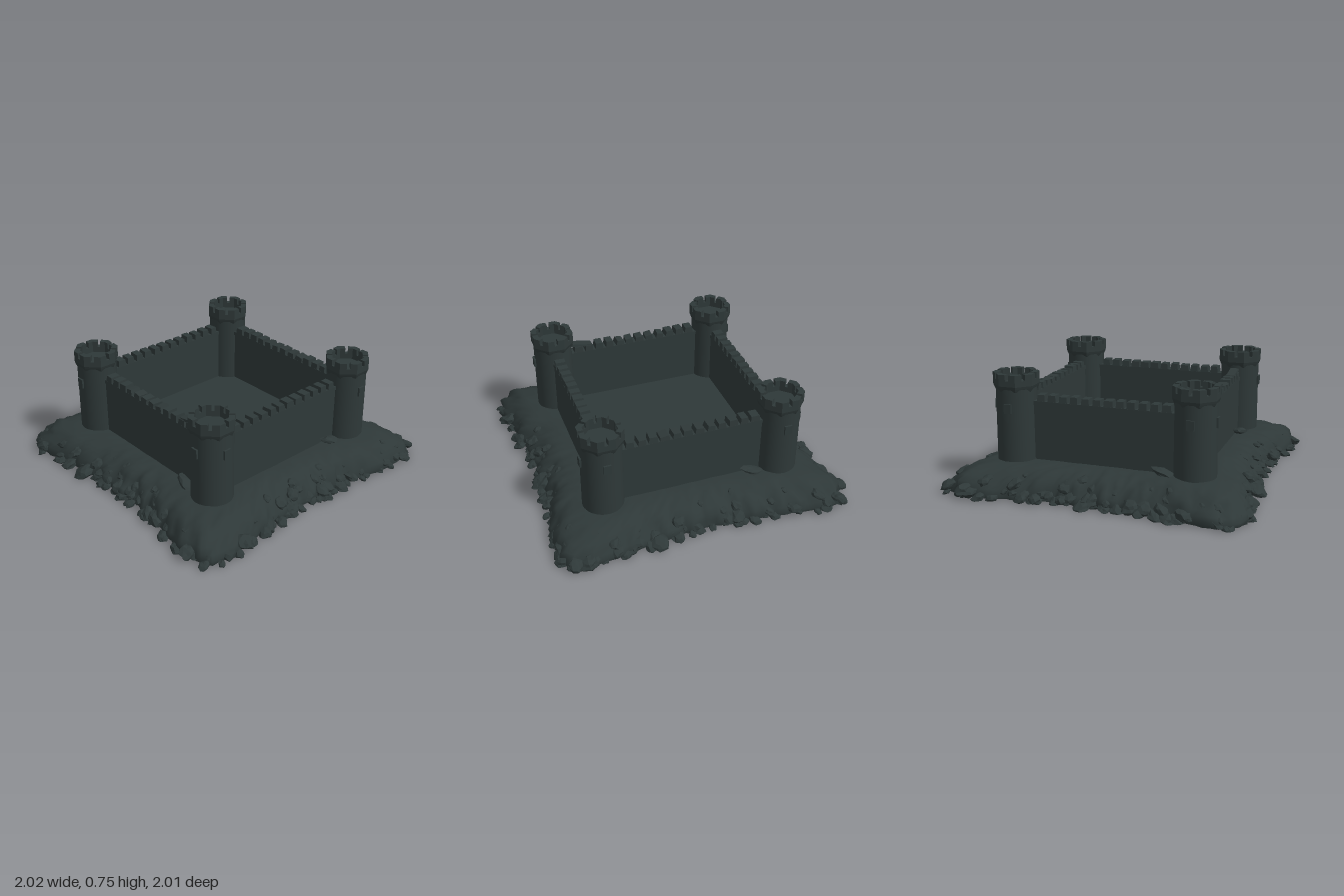
import * as THREE from 'three';
import { mergeVertices } from 'three/addons/utils/BufferGeometryUtils.js';

const C = 0.59; // tower centres, out from the middle

function seeded(seed) {
  let s = seed;
  return () => {
    s = (s * 16807) % 2147483647;
    return s / 2147483647;
  };
}

// Smooth bumps at two scales for the ground
const wave = (x, z, f) =>
  Math.sin(x * f + Math.sin(z * f * 0.6) * 2) * Math.cos(z * f * 0.9 + Math.sin(x * f * 0.7) * 2);
const bumps = (x, z) => 0.6 * wave(x, z, 19) + 0.5 * wave(z + 0.3, x, 43);

// Outline of the mound: a square with softened, pushed out corners
function outline(a) {
  const c = Math.cos(a), s = Math.sin(a), p = 14;
  const r = Math.pow(Math.abs(c) ** p + Math.abs(s) ** p, -1 / p);
  const k = 1 + 0.1 * Math.sin(2 * a) ** 4;
  return [c * r * k, s * r * k];
}

// Gives every face its own flat normal
function faceted(geometry) {
  const g = geometry.toNonIndexed();
  g.computeVertexNormals();
  return g;
}

export function createModel() {
  const model = new THREE.Group();
  const rand = seeded(71);
  const stone = new THREE.MeshStandardMaterial({ color: 0x2e3838 });
  stone.name = 'dark slate';

  function add(parent, name, geometry, x = 0, y = 0, z = 0) {
    const m = new THREE.Mesh(geometry, stone);
    m.name = name;
    m.position.set(x, y, z);
    parent.add(m);
    return m;
  }

  // Mound: rings of a slope profile [half size, height, roughness]
  const profile = [
    [0.87, 0.005, 0.02], [0.875, 0.03, 0.025], [0.862, 0.06, 0.028],
    [0.842, 0.09, 0.026], [0.815, 0.122, 0.022], [0.785, 0.145, 0.018], [0.75, 0.162, 0.014],
    [0.715, 0.172, 0.011], [0.68, 0.179, 0.008], [0.64, 0.184, 0.005], [0.54, 0.185, 0], [0, 0.185, 0],
  ];
  const N = 240, pos = [], idx = [];
  profile.forEach(([h, y, n], j) => {
    for (let i = 0; i < N; i++) {
      const [x, z] = outline((i / N) * Math.PI * 2);
      const b = bumps(x * h, z * h);
      const k = h + n * b;
      pos.push(x * k, j === 0 ? y : y + n * b * 0.7, z * k);
      if (j < profile.length - 1) {
        const a = j * N + i, d = j * N + ((i + 1) % N);
        idx.push(a, a + N, d, d, a + N, d + N);
      }
    }
  });
  const moundGeo = new THREE.BufferGeometry();
  moundGeo.setAttribute('position', new THREE.Float32BufferAttribute(pos, 3));
  moundGeo.setIndex(idx);
  moundGeo.computeVertexNormals();
  add(model, 'mound', moundGeo);

  // Flat underside
  const under = new THREE.Shape();
  for (let i = 0; i < N; i++) under.lineTo(pos[i * 3], pos[i * 3 + 2]);
  under.curves.shift();
  add(model, 'underside', new THREE.ShapeGeometry(under).rotateX(Math.PI / 2), 0, 0.005, 0);

  // Rocks scattered over the slope, flattened at the ground
  function rock(sx, sy, sz, x, y, z, turn) {
    let g = new THREE.IcosahedronGeometry(1, 1);
    g.deleteAttribute('normal');
    g.deleteAttribute('uv');
    g = mergeVertices(g);
    const p = g.attributes.position;
    for (let i = 0; i < p.count; i++) {
      const k = 0.75 + rand() * 0.4;
      p.setXYZ(i, p.getX(i) * k * sx, p.getY(i) * k * sy, p.getZ(i) * k * sz);
    }
    g.rotateZ(-0.4).rotateY(turn).translate(x, y, z);
    for (let i = 0; i < p.count; i++) p.setY(i, Math.max(p.getY(i), 0));
    return faceted(g);
  }
  const rocks = new THREE.Group();
  rocks.name = 'rocks';
  model.add(rocks);
  const rows = [[0.875, 0.014, 84, 0.036], [0.855, 0.05, 60, 0.038], [0.815, 0.1, 44, 0.034], [0.765, 0.14, 26, 0.026]];
  for (const [h, y, count, size] of rows) {
    for (let i = 0; i < count; i++) {
      const a = ((i + rand() * 0.9) / count) * Math.PI * 2;
      const [x, z] = outline(a);
      const k = h + (rand() - 0.5) * 0.05, s = size * (0.6 + rand() * 0.8);
      add(rocks, 'rock', rock(s * 1.25, s * 0.65, s, x * k, y, z * k, -a + rand() - 0.5));
    }
  }
  // Larger boulders that break the outline, paired across the middle
  const boulders = [[0.33, -0.92, 0.06], [0.77, -0.945, 0.05], [0.93, -0.82, 0.045], [0.91, 0.42, 0.05],
    [0.88, 0.17, 0.04], [0.91, -0.62, 0.035], [0.945, 0.77, 0.05], [0.81, 0.92, 0.045], [0.93, 0.33, 0.04]];
  for (const [x, z, s] of boulders) {
    for (const k of [1, -1]) {
      add(rocks, 'boulder', rock(s * 1.1, s * 0.6, s, x * k, 0.035, z * k, -Math.atan2(z * k, x * k)));
    }
  }

  // Courtyard floor
  add(model, 'courtyard', new THREE.BoxGeometry(1.12, 0.03, 1.12), 0, 0.18, 0);

  // Tapered block for the battlements
  function block(w, h, d) {
    const g = new THREE.BoxGeometry(w, h, d);
    const p = g.attributes.position;
    for (let i = 0; i < p.count; i++) {
      if (p.getY(i) > 0) p.setXYZ(i, p.getX(i) * 0.86, p.getY(i), p.getZ(i) * 0.92);
    }
    return faceted(g.translate(0, h / 2, 0));
  }

  // Four walls, each with a coping and a row of merlons
  for (let side = 0; side < 4; side++) {
    const wall = new THREE.Group();
    wall.name = ['frontWall', 'leftWall', 'backWall', 'rightWall'][side];
    wall.rotation.y = (side * Math.PI) / 2;
    model.add(wall);
    add(wall, 'wallBody', new THREE.BoxGeometry(1.1, 0.39, 0.064), 0, 0.355, 0.583);
    add(wall, 'coping', new THREE.BoxGeometry(1.04, 0.025, 0.074), 0, 0.555, 0.583);
    for (let i = 0; i < 12; i++) {
      const x = (i - 5.5) * 0.075;
      const worn = side % 2 === 0 && i > 2 && i < 8;
      const h = (worn ? 0.034 : 0.04) + rand() * 0.006;
      const m = add(wall, 'merlon', block(0.052 + rand() * 0.014, h, 0.074), x, 0.565, 0.583);
      m.rotation.y = (rand() - 0.5) * 0.15;
      if (worn) m.rotation.z = (rand() - 0.5) * 0.4;
    }
    // Fallen slab on the front wall, heap of earth at the wall's end
    if (side === 0) add(wall, 'fallenSlab', block(0.16, 0.016, 0.06), 0.385, 0.605, 0.583).rotation.z = 0.16;
    add(wall, 'earthHeap', rock(0.1, 0.028, 0.05, 0.42, 0.185, 0.64, 0));
  }

  // Merlon of the octagonal parapet, bent around one corner
  const R = 0.147, r = 0.108, half = Math.PI / 8;
  const onSide = (rad, a) => {
    const d = (rad * Math.cos(half)) / Math.cos(half - Math.abs(a));
    return new THREE.Vector2(d * Math.cos(a), d * Math.sin(a));
  };
  const e = half - 0.085;
  const bent = new THREE.Shape([onSide(R, -e), onSide(R, 0), onSide(R, e), onSide(r, e), onSide(r, 0), onSide(r, -e)]);
  const towerMerlon = new THREE.ExtrudeGeometry(bent, { depth: 0.04, bevelEnabled: false });
  towerMerlon.rotateX(-Math.PI / 2);

  const v = (x, y) => new THREE.Vector2(x, y);
  const shaft = new THREE.CylinderGeometry(0.131, 0.133, 0.48, 32, 1, true);
  const parapet = faceted(new THREE.LatheGeometry(
    [v(0.125, 0.625), v(0.134, 0.636), v(0.142, 0.655), v(R, 0.67), v(R, 0.707), v(r, 0.707), v(r, 0.67), v(0, 0.67)],
    8, half));
  const windowStone = new THREE.BoxGeometry(0.048, 0.062, 0.03);

  // Four corner towers
  for (const sx of [-1, 1]) {
    for (const sz of [-1, 1]) {
      const tower = new THREE.Group();
      tower.name = (sz > 0 ? 'front' : 'back') + (sx > 0 ? 'Left' : 'Right') + 'Tower';
      tower.position.set(sx * C, 0, sz * C);
      model.add(tower);
      add(tower, 'shaft', shaft, 0, 0.41, 0);
      add(tower, 'parapet', parapet);
      for (let k = 0; k < 8; k++) {
        add(tower, 'towerMerlon', towerMerlon, 0, 0.705, 0).rotation.y = half + (k * Math.PI) / 4;
      }
      // Window stones on the two outer faces
      add(tower, 'windowStone', windowStone, 0, 0.53, sz * 0.127);
      add(tower, 'windowStone', windowStone, sx * 0.127, 0.53, 0).rotation.y = Math.PI / 2;
    }
  }
  return model;
}
